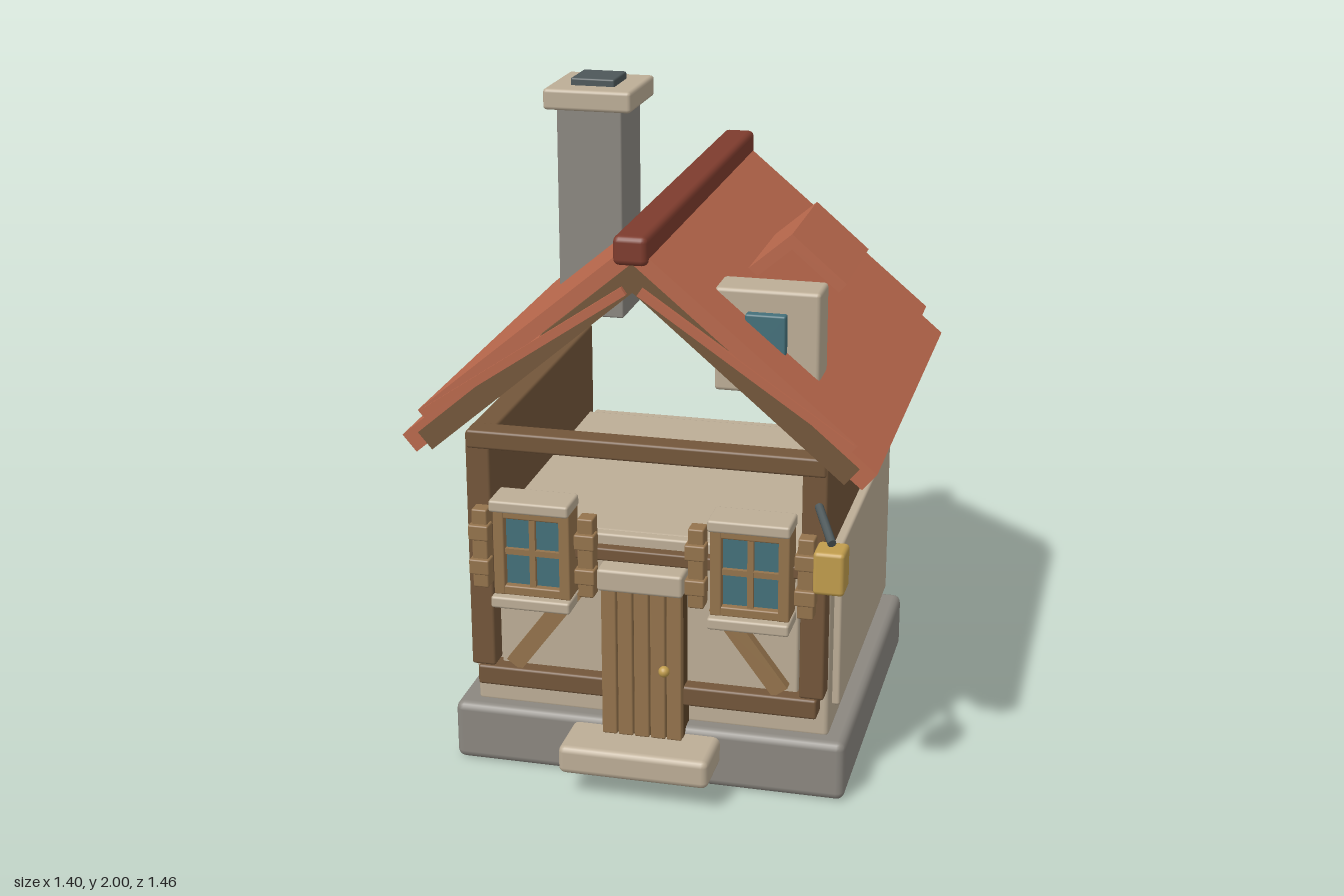
import * as THREE from 'three';
import { RoundedBoxGeometry } from 'three/addons/geometries/RoundedBoxGeometry.js';

const material = (name, color) => {
  const m = new THREE.MeshStandardMaterial({ color });
  m.name = name;
  return m;
};

export function createModel() {
  const plaster = material('plaster', 0xbcad96);
  const stone = material('stone', 0x8b8780);
  const timber = material('dark timber', 0x73563a);
  const plank = material('light plank', 0x94734c);
  const groove = material('plank groove', 0x5f4629);
  const tile = material('roof tile', 0xb9684c);
  const ridgeTile = material('ridge tile', 0x7d3b2d);
  const glass = material('window glass', 0x44707a);
  const brass = material('brass', 0xc09c4c);
  const iron = material('iron', 0x4d5759);

  const house = new THREE.Group();
  house.name = 'cottage';

  // Box given by its extents; r rounds the edges
  function box(name, mat, [x0, x1], [y0, y1], [z0, z1], r = 0, parent = house) {
    const w = x1 - x0, h = y1 - y0, d = z1 - z0;
    const geo = r ? new RoundedBoxGeometry(w, h, d, 2, r) : new THREE.BoxGeometry(w, h, d);
    const mesh = new THREE.Mesh(geo, mat);
    mesh.name = name;
    mesh.position.set((x0 + x1) / 2, (y0 + y1) / 2, (z0 + z1) / 2);
    parent.add(mesh);
    return mesh;
  }

  // Sloping board whose top edge runs from a (upper) to b (lower), as seen from the front
  function board(name, mat, a, b, thick, [z0, z1], side, cx = 0) {
    const dx = b[0] - a[0], dy = b[1] - a[1], len = Math.hypot(dx, dy);
    const mesh = new THREE.Mesh(new THREE.BoxGeometry(len, thick, z1 - z0), mat);
    mesh.name = name;
    const x = (a[0] + b[0]) / 2 + (dy / len) * thick / 2;
    const y = (a[1] + b[1]) / 2 - (dx / len) * thick / 2;
    mesh.position.set(cx + side * x, y, (z0 + z1) / 2);
    mesh.rotation.z = side * Math.atan2(dy, dx);
    house.add(mesh);
  }

  // Foundation, step and plaster body with raised panels
  box('foundation', stone, [-0.61, 0.61], [0, 0.19], [-0.59, 0.55], 0.025);
  box('doorStep', plaster, [-0.23, 0.23], [0.08, 0.17], [0.5, 0.72], 0.02);
  box('wallBody', plaster, [-0.55, 0.55], [0.18, 0.79], [-0.525, 0.495], 0.015);
  box('frontPanel', plaster, [-0.46, 0.46], [0.262, 0.788], [0.48, 0.52], 0.008);
  box('backPanel', plaster, [-0.46, 0.46], [0.262, 0.788], [-0.55, -0.51], 0.008);
  for (const s of [-1, 1]) {
    const x = s > 0 ? [0.53, 0.573] : [-0.573, -0.53];
    box('sidePanel', plaster, x, [0.262, 0.788], [-0.47, 0.435], 0.008);
  }

  // Timber frame: deep side walls, front beams and braces
  for (const s of [-1, 1]) {
    box('sideWall', timber, s > 0 ? [0.47, 0.545] : [-0.545, -0.47], [0.335, 1.09], [-0.557, 0.56], 0.008);
    board('brace', plank, [0.24, 0.622], [0.435, 0.36], 0.055, [0.51, 0.555], s);
  }
  box('topBeam', timber, [-0.54, 0.54], [1.04, 1.097], [0.49, 0.566], 0.008);
  box('bottomBeam', timber, [-0.525, 0.525], [0.272, 0.335], [0.49, 0.566], 0.008);
  box('middleBeam', timber, [-0.47, 0.47], [0.715, 0.755], [0.5, 0.555], 0.006);

  // Door of upright planks
  box('doorBacking', groove, [-0.122, 0.122], [0.17, 0.643], [0.5, 0.582]);
  for (let i = 0; i < 5; i++) {
    const x = -0.125 + i * 0.05;
    box('doorPlank', plank, [x + 0.002, x + 0.048], [0.17, 0.645], [0.57, 0.6], 0.005);
  }
  box('doorLintel', plaster, [-0.13, 0.13], [0.645, 0.715], [0.5, 0.62], 0.01);
  const knob = new THREE.Mesh(new THREE.SphereGeometry(0.017, 16, 12), brass);
  knob.name = 'doorKnob';
  knob.position.set(0.072, 0.4, 0.608);
  house.add(knob);

  // Windows with sills, glazing bars and shutters
  for (const s of [-1, 1]) {
    const win = new THREE.Group();
    win.name = 'window';
    win.position.set(s * 0.33, 0.738, 0);
    house.add(win);
    const part = (n, m, x, y, z, r) => box(n, m, x, y, z, r, win);
    part('glassPane', glass, [-0.09, 0.09], [-0.11, 0.11], [0.55, 0.59]);
    for (const k of [-1, 1]) {
      part('frameSide', plank, k > 0 ? [0.084, 0.118] : [-0.118, -0.084], [-0.137, 0.137], [0.52, 0.615], 0.005);
      part('frameRail', plank, [-0.118, 0.118], k > 0 ? [0.107, 0.137] : [-0.137, -0.107], [0.52, 0.613], 0.005);
      part('sill', plaster, [-0.122, 0.122], k > 0 ? [0.135, 0.172] : [-0.172, -0.135], [0.52, 0.64], 0.008);
      const c = k * 0.163;
      part('shutter', plank, [c - 0.024, c + 0.024], [-0.125, 0.125], [0.55, 0.605], 0.005);
      for (const y of [-0.055, 0.055])
        part('shutterBatten', plank, [c - 0.031, c + 0.031], [y - 0.024, y + 0.024], [0.57, 0.62], 0.005);
    }
    part('glazingBar', plank, [-0.009, 0.009], [-0.11, 0.11], [0.58, 0.605]);
    part('glazingBar', plank, [-0.09, 0.09], [-0.009, 0.009], [0.58, 0.604]);
  }

  // Lantern on a slanting bracket
  box('lantern', brass, [0.535, 0.625], [0.75, 0.88], [0.635, 0.73], 0.012);
  const from = new THREE.Vector3(0.52, 0.952, 0.56), to = new THREE.Vector3(0.582, 0.895, 0.69);
  const arm = new THREE.Mesh(new THREE.CylinderGeometry(0.013, 0.013, from.distanceTo(to), 10), iron);
  arm.name = 'lanternArm';
  arm.position.copy(from).lerp(to, 0.5);
  arm.quaternion.setFromUnitVectors(new THREE.Vector3(0, 1, 0), to.clone().sub(from).normalize());
  house.add(arm);

  // Roof slopes, eaves, gable rafters and trims
  for (const s of [-1, 1]) {
    board('roofSlope', tile, [0, 1.727], [0.645, 1.187], 0.045, [-0.708, 0.672], s);
    board('eaveStrip', tile, [0.46, 1.305], [0.7, 1.102], 0.065, [-0.7, 0.66], s);
    for (const z of [[-0.7, -0.64], [0.605, 0.665]])
      board('gableRafter', timber, [0, 1.668], [0.65, 1.115], 0.065, z, s);
    for (const z of [[-0.713, -0.665], [0.63, 0.679]])
      board('gableTrim', tile, [0.03, 1.6], [0.635, 1.19], 0.026, z, s);
  }
  box('roofRidge', ridgeTile, [-0.05, 0.05], [1.665, 1.75], [-0.73, 0.695], 0.018);

  // Chimney
  box('chimneyStack', stone, [-0.465, -0.255], [1.24, 1.92], [-0.4, -0.17], 0.006);
  box('chimneyCap', plaster, [-0.5, -0.217], [1.91, 1.977], [-0.437, -0.137], 0.012);
  box('chimneyFlue', iron, [-0.43, -0.288], [1.95, 2], [-0.36, -0.212], 0.006);

  // Dormer block with its window and little gable roof
  box('dormerBlock', plaster, [0.195, 0.502], [1.257, 1.565], [0.367, 0.497], 0.012);
  box('dormerWindow', glass, [0.29, 0.408], [1.355, 1.5], [0.48, 0.525], 0.006);
  for (const s of [-1, 1])
    board('dormerRoof', tile, [0, 1.648], [0.165, 1.507], 0.035, [-0.218, 0.183], s, 0.357);

  return house;
}
